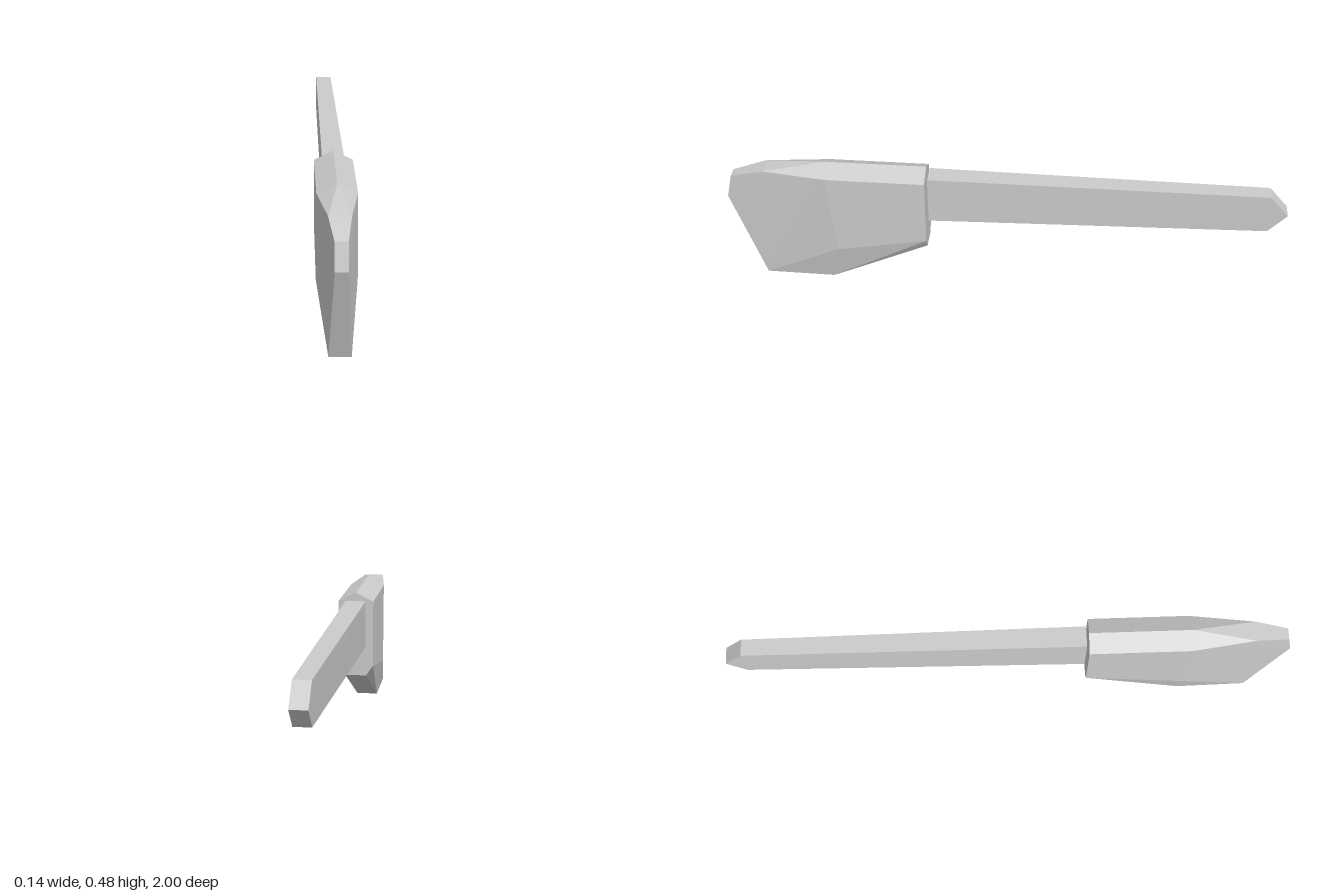
import * as THREE from 'three';
import { ConvexGeometry } from 'three/addons/geometries/ConvexGeometry.js';

const material = new THREE.MeshStandardMaterial({ color: 0xcccccc, flatShading: true });

// Faceted solid around corner points [x, y, z], mirrored left to right
function facetedPart(name, corners) {
  const points = [];
  for (const [x, y, z] of corners) {
    points.push(new THREE.Vector3(x, y, z));
    if (x > 0) points.push(new THREE.Vector3(-x, y, z));
  }
  const mesh = new THREE.Mesh(new ConvexGeometry(points), material);
  mesh.name = name;
  return mesh;
}

export function createModel() {
  const group = new THREE.Group();
  group.name = 'chunkyBladedTool';

  group.add(facetedPart('head', [
    // rear end: roof ridge, shoulder, lower side, underside
    [0, 0.483, 0.275], [0.066, 0.45, 0.275], [0.066, 0.203, 0.275], [0.04, 0.163, 0.275],
    // widest section, where the taper begins
    [0, 0.483, 0.64], [0.066, 0.45, 0.63], [0.068, 0.145, 0.6], [0.04, 0, 0.63],
    // narrowing front: brow, nose top, nose bottom, toe
    [0.036, 0.452, 0.86], [0.021, 0.416, 0.98], [0.021, 0.327, 1], [0.036, 0, 0.88],
  ]));

  group.add(facetedPart('handle', [
    [0.038, 0.452, 0.268], [0.038, 0.275, 0.268], // end at the head
    [0.03, 0.445, -0.935], [0.03, 0.3, -0.935],   // start of the tip
    [0.03, 0.37, -1],                             // wedge-shaped tip
  ]));

  return group;
}
